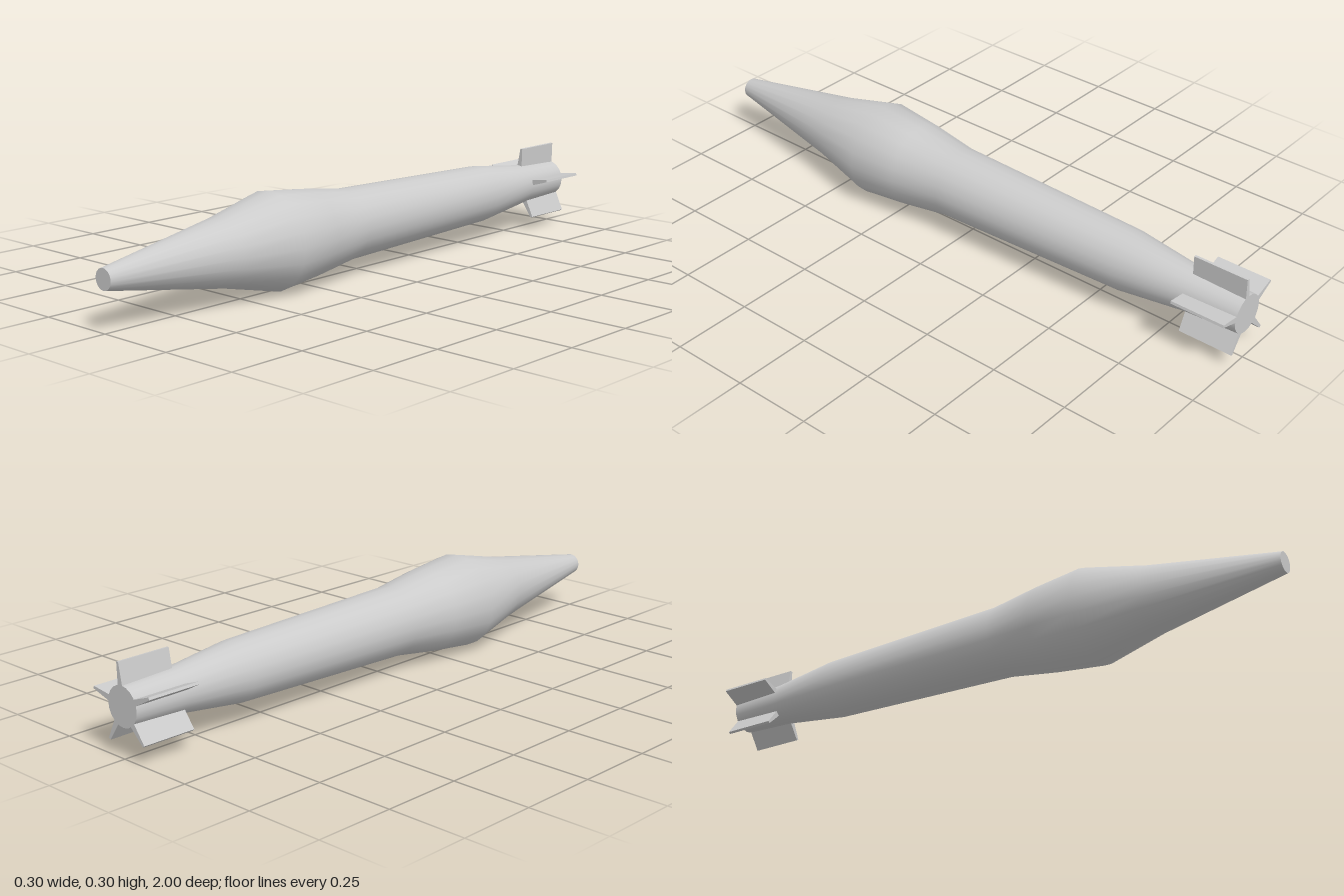
import * as THREE from 'three';

const SIDES = 20;
const AXIS_Y = 0.153;
const material = new THREE.MeshStandardMaterial({ color: 0xcccccc });

// body outline from tail to nose: [radius, z]
const PROFILE = [
  [0.061, -1], [0.067, -0.825], [0.094, -0.6], [0.112, 0.06],
  [0.135, 0.22], [0.152, 0.38], [0.105, 0.58], [0.032, 1],
];

function addMesh(parent, name, geometry) {
  const mesh = new THREE.Mesh(geometry, material);
  mesh.name = name;
  parent.add(mesh);
  return mesh;
}

// flat disc closing one end of the body
function addCap(parent, name, [radius, z]) {
  const cap = addMesh(parent, name, new THREE.CircleGeometry(radius, SIDES));
  cap.position.z = z;
  if (z < 0) cap.rotation.y = Math.PI;
}

// fin pointing along +x: wide at the root, narrow at the tip
function finGeometry() {
  const shape = new THREE.Shape([
    new THREE.Vector2(0.04, -0.011),
    new THREE.Vector2(0.126, -0.004),
    new THREE.Vector2(0.126, 0.004),
    new THREE.Vector2(0.04, 0.011),
  ]);
  const geometry = new THREE.ExtrudeGeometry(shape, { depth: 0.175, bevelEnabled: false });
  return geometry.translate(0, 0, -1);
}

export function createModel() {
  const model = new THREE.Group();
  model.name = 'finnedProjectile';
  model.position.y = AXIS_Y;

  // turned body, nose towards +z
  const points = PROFILE.map(([r, z]) => new THREE.Vector2(r, z));
  addMesh(model, 'body', new THREE.LatheGeometry(points, SIDES).rotateX(Math.PI / 2));
  addCap(model, 'tailCap', PROFILE[0]);
  addCap(model, 'noseCap', PROFILE[PROFILE.length - 1]);

  // five tail fins, evenly spaced
  const fins = new THREE.Group();
  fins.name = 'tailFins';
  const fin = finGeometry();
  for (let i = 0; i < 5; i++) {
    addMesh(fins, 'tailFin' + (i + 1), fin).rotation.z = THREE.MathUtils.degToRad(84 + i * 72);
  }
  model.add(fins);

  const root = new THREE.Group();
  root.name = 'model';
  root.add(model);
  return root;
}
